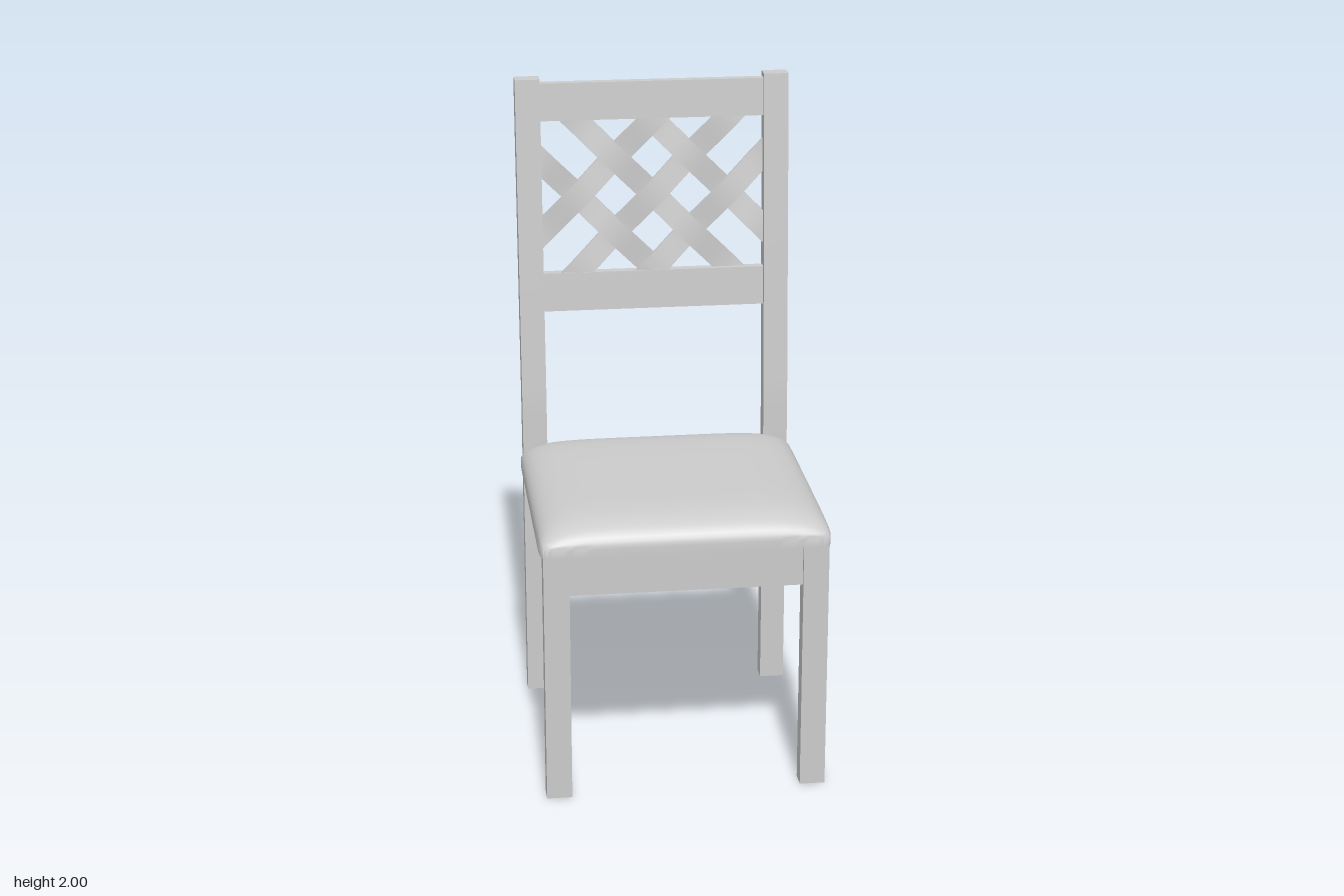
import * as THREE from 'three';
import { mergeVertices, toCreasedNormals } from 'three/addons/utils/BufferGeometryUtils.js';

const LEG_X = 0.383, FRONT_Z = 0.413, BACK_Z = -0.352;
const LEG_W = 0.076, LEG_D = 0.053, RAIL_T = 0.03, INNER_X = 0.345;
const material = new THREE.MeshStandardMaterial({ color: 0xcccccc });

// Backward lean of the chair back at a given height
function lean(y) {
  if (y <= 0.85) return 0;
  if (y <= 1) return -0.004 * (y - 0.85) / 0.15;
  return -0.004 - 0.065 * (y - 1);
}

function moveVertices(geometry, rule) {
  const p = geometry.attributes.position;
  const v = new THREE.Vector3();
  for (let i = 0; i < p.count; i++) {
    v.fromBufferAttribute(p, i);
    rule(v);
    p.setXYZ(i, v.x, v.y, v.z);
  }
  return geometry;
}

function crease(geometry, angle) {
  geometry.deleteAttribute('normal');
  geometry.deleteAttribute('uv');
  return toCreasedNormals(mergeVertices(geometry, 1e-5), angle);
}

// Box between two heights, optionally following the lean of the back
function bar(name, w, d, y0, y1, x, z, leaning = false) {
  let g = new THREE.BoxGeometry(w, y1 - y0, d, 1, leaning ? 40 : 1, 1);
  g.translate(x, (y0 + y1) / 2, z);
  if (leaning) g = crease(moveVertices(g, v => { v.z += lean(v.y); }), 0.6);
  const mesh = new THREE.Mesh(g, material);
  mesh.name = name;
  return mesh;
}

// Padded seat: domed top, rounded rim, cut back at the rear legs
function makeCushion() {
  const halfX = 0.43, zBack = -0.38, zFront = 0.447;
  const halfZ = (zFront - zBack) / 2, midZ = (zFront + zBack) / 2;
  const g = new THREE.BoxGeometry(2, 1, 2, 40, 1, 40);
  moveVertices(g, v => {
    const u = Math.sin(v.x * Math.PI / 2), w = Math.sin(v.z * Math.PI / 2);
    const dome = Math.sqrt(Math.max(0, (1 - u ** 6) * (1 - w ** 6)));
    v.y = v.y > 0 ? 0.8 + 0.078 * dome : 0.775;
    v.x = u * (halfX - 0.01 * Math.abs(w) ** 24);
    v.z = midZ + w * (halfZ - 0.008 * Math.abs(u) ** 24);
    if (Math.abs(v.x) > INNER_X) v.z = Math.max(v.z, -0.33);
  });
  const mesh = new THREE.Mesh(crease(g, 0.9), material);
  mesh.name = 'seatCushion';
  return mesh;
}

// Diagonal slats woven over and under each other
function makeLattice() {
  const group = new THREE.Group();
  group.name = 'wovenLattice';
  const spacing = 0.233, midY = 1.632, halfH = 0.238, over = 0.03;
  for (const dir of [1, -1]) {
    for (const i of [-1, 0, 1]) {
      const a = i * spacing;
      // range of rise u, limited by the rails and the posts
      const side = [(-INNER_X - a) * dir, (INNER_X - a) * dir].sort((p, q) => p - q);
      const u0 = Math.max(-halfH, side[0]) - over;
      const u1 = Math.min(halfH, side[1]) + over;
      const g = new THREE.BoxGeometry((u1 - u0) * Math.SQRT2, 0.072, 0.011, 32, 1, 1);
      moveVertices(g, v => {
        const u = v.x / Math.SQRT2 + (u0 + u1) / 2;
        const s = v.y / Math.SQRT2;
        const wave = dir * 0.007 * Math.cos(2 * Math.PI * u / spacing);
        v.x = a + dir * (u - s);
        v.y = midY + u + s;
        v.z += BACK_Z + lean(v.y) + wave;
      });
      // mirrored slats need their faces turned round
      if (dir < 0) {
        const idx = g.index.array;
        for (let k = 0; k < idx.length; k += 3) [idx[k], idx[k + 1]] = [idx[k + 1], idx[k]];
      }
      const mesh = new THREE.Mesh(crease(g, 0.6), material);
      mesh.name = 'latticeSlat';
      group.add(mesh);
    }
  }
  return group;
}

export function createModel() {
  const chair = new THREE.Group();
  chair.name = 'chair';

  // Legs, rear posts and side aprons
  for (const [side, s] of [['left', 1], ['right', -1]]) {
    const x = s * LEG_X;
    chair.add(bar(side + 'FrontLeg', LEG_W, LEG_D, 0, 0.776, x, FRONT_Z));
    chair.add(bar(side + 'RearPost', LEG_W, LEG_D, 0, 2, x, BACK_Z, true));
    chair.add(bar(side + 'Apron', RAIL_T, FRONT_Z - BACK_Z - LEG_D + 0.01, 0.65, 0.776,
      x, (FRONT_Z + BACK_Z) / 2));
  }

  // Cross members
  const span = 2 * INNER_X + 0.01;
  chair.add(bar('frontApron', span, RAIL_T, 0.65, 0.776, 0, FRONT_Z));
  chair.add(bar('rearApron', span, RAIL_T, 0.65, 0.776, 0, BACK_Z));
  chair.add(bar('lowerBackRail', span, RAIL_T, 1.275, 1.395, 0, BACK_Z, true));
  chair.add(bar('topBackRail', span, RAIL_T, 1.87, 1.985, 0, BACK_Z, true));

  chair.add(makeLattice(), makeCushion());
  return chair;
}
